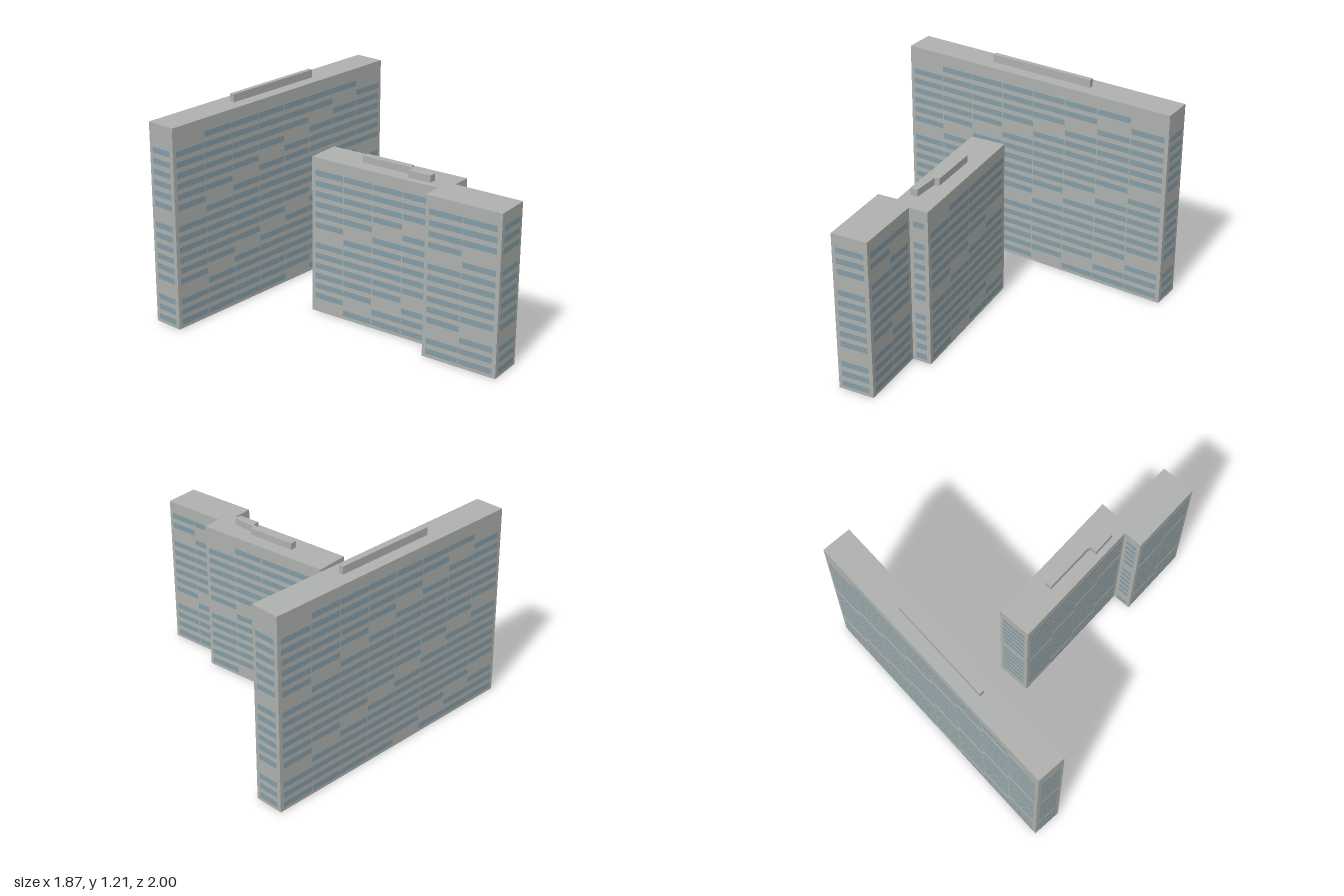
import * as THREE from 'three';
import { mergeGeometries } from 'three/addons/utils/BufferGeometryUtils.js';

const concrete = new THREE.MeshStandardMaterial({ color: 0xadb0ad, side: THREE.DoubleSide });
concrete.name = 'concrete grey';
const glass = new THREE.MeshStandardMaterial({ color: 0x839ca7 });
glass.name = 'blue grey glass';

const ROW_BASE = 0.037, ROW_STEP = 0.0612, BAND = 0.033, MARGIN = 0.02, JOINT = 0.005;

// Footprints are [x, z] corners; each wall runs left to right as seen from outside.
function wallsOf(points) {
  return points.map(([ax, az], i) => {
    const [bx, bz] = points[(i + 1) % points.length];
    const length = Math.hypot(bx - ax, bz - az);
    return { ax, az, length, dx: (bx - ax) / length, dz: (bz - az) / length };
  });
}

// Upright panel on a wall, s along the wall, y at its centre, pushed outward by out
function panel(wall, s, y, width, height, out) {
  const { ax, az, dx, dz } = wall;
  return new THREE.PlaneGeometry(width, height)
    .rotateY(Math.atan2(-dz, dx))
    .translate(ax + dx * s - dz * out, y, az + dz * s + dx * out);
}

// Walls and flat roof, open underneath
function block(name, points, y0, y1) {
  const parts = wallsOf(points).map(w => panel(w, w.length / 2, (y0 + y1) / 2, w.length, y1 - y0, 0));
  const outline = new THREE.Shape(points.map(([x, z]) => new THREE.Vector2(x, -z)));
  parts.push(new THREE.ShapeGeometry(outline).rotateX(-Math.PI / 2).translate(0, y1, 0));
  const mesh = new THREE.Mesh(mergeGeometries(parts), concrete);
  mesh.name = name;
  return mesh;
}

// Ribbon windows on every wall; blank bays step diagonally, repeating every seven floors
function windows(name, points, rows, shift) {
  const parts = [];
  wallsOf(points).forEach((wall, i) => {
    const bays = Math.max(1, Math.round(wall.length / 0.21));
    const bay = (wall.length - 2 * MARGIN) / bays;
    for (let r = 0; r < rows; r++) {
      for (let c = 0; c < bays; c++) {
        if ((c - r + shift(i) + 70) % 7 === 0) continue;
        parts.push(panel(wall, MARGIN + bay * (c + 0.5), ROW_BASE + r * ROW_STEP, bay - JOINT, BAND, 0.002));
      }
    }
  });
  const mesh = new THREE.Mesh(mergeGeometries(parts), glass);
  mesh.name = name;
  return mesh;
}

export function createModel() {
  const model = new THREE.Group();
  model.name = 'apartmentBlocks';

  // Long tall slab
  const tall = new THREE.Group();
  tall.name = 'tallBuilding';
  const tallPlan = [[-0.935, 0.14], [-0.815, 0.27], [0.435, -0.87], [0.315, -1.0]];
  const tallRoomPlan = [[-0.494, -0.161], [-0.475, -0.14], [-0.005, -0.566], [-0.024, -0.587]];
  tall.add(
    block('tallWalls', tallPlan, 0, 1.167),
    windows('tallWindows', tallPlan, 18, () => 3),
    block('tallRoofRoom', tallRoomPlan, 1.167, 1.213)
  );

  // Shorter slab of two staggered halves
  const low = new THREE.Group();
  low.name = 'lowBuilding';
  const lowPlan = [
    [-0.065, 0.085], [0.535, 0.615], [0.46, 0.7], [0.795, 0.995],
    [0.93, 0.84], [0.635, 0.575], [0.71, 0.495], [0.07, -0.065]
  ];
  const lowRoomPlan = [
    [0.197, 0.207], [0.424, 0.408], [0.431, 0.425], [0.405, 0.454],
    [0.508, 0.542], [0.537, 0.51], [0.424, 0.41], [0.447, 0.376], [0.225, 0.177]
  ];
  lowRoomPlan[6] = [0.432, 0.4];
  low.add(
    block('lowWalls', lowPlan, 0, 0.92),
    windows('lowWindows', lowPlan, 14, i => i),
    block('lowRoofRoom', lowRoomPlan, 0.92, 0.96)
  );

  model.add(tall, low);
  return model;
}
